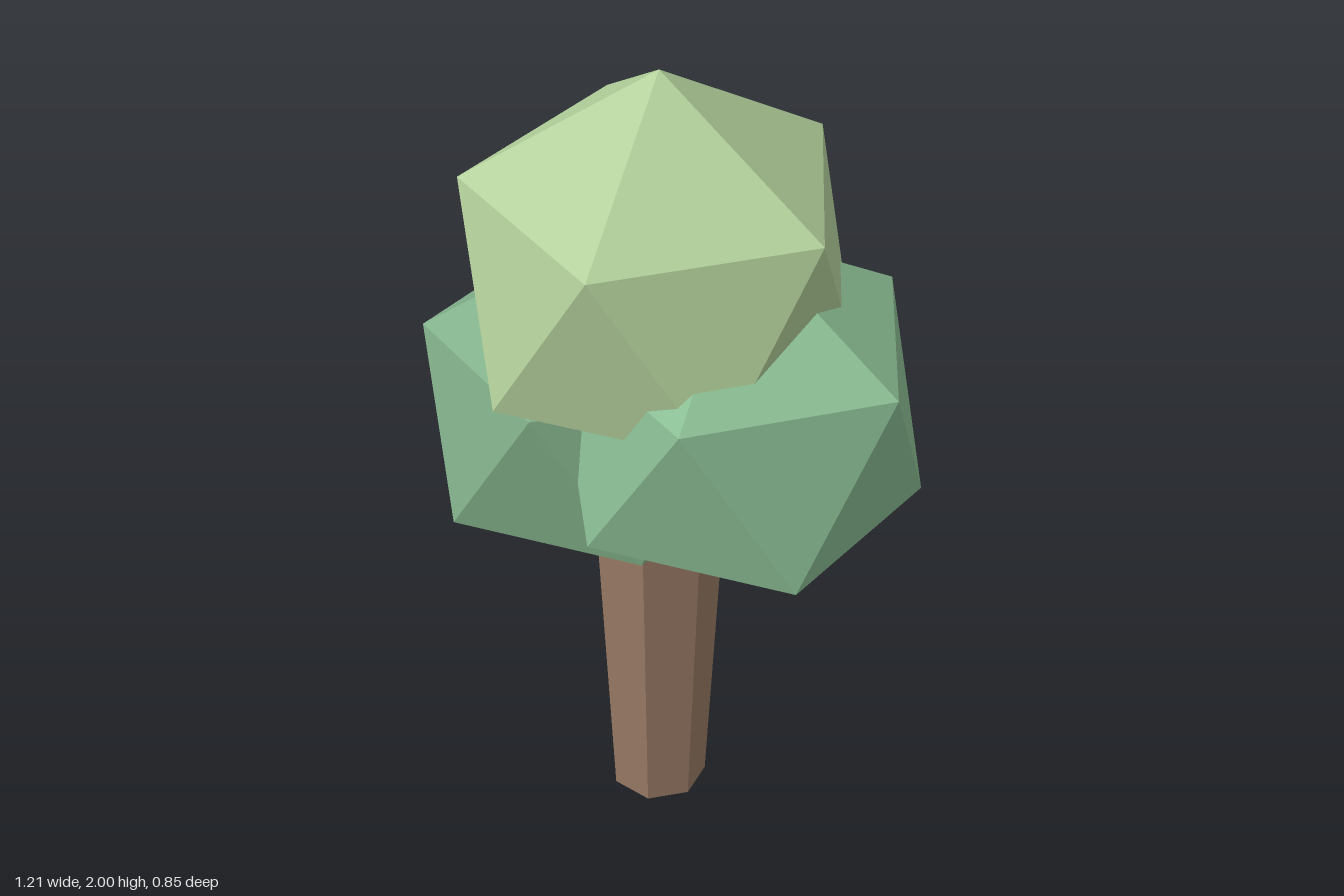
import * as THREE from 'three';

const GOLDEN = (1 + Math.sqrt(5)) / 2;

function material(color) {
  return new THREE.MeshStandardMaterial({ color, flatShading: true });
}

// Icosahedron standing on one corner, with an upper-ring corner facing +x
function leafBall(name, radius, position, color) {
  const geometry = new THREE.IcosahedronGeometry(radius, 0);
  geometry.rotateX(-Math.atan(GOLDEN)).rotateY(Math.PI / 2);
  const mesh = new THREE.Mesh(geometry, material(color));
  mesh.name = name;
  mesh.position.set(...position);
  return mesh;
}

export function createModel() {
  const tree = new THREE.Group();
  tree.name = 'tree';

  // Seven-sided trunk, widening upwards into the leaves
  const height = 1.1;
  const trunk = new THREE.Mesh(
    new THREE.CylinderGeometry(0.172, 0.118, height, 7).rotateY(Math.PI),
    material(0x9a7b66)
  );
  trunk.name = 'trunk';
  trunk.position.set(-0.025, height / 2, 0.006);
  tree.add(trunk);

  // Three overlapping clumps of leaves
  tree.add(
    leafBall('topLeaves', 0.49, [-0.02, 1.51, 0.003], 0xb4d19c),
    leafBall('rightLeaves', 0.442, [-0.21, 1.07, 0.003], 0x82b08a),
    leafBall('leftLeaves', 0.464, [0.185, 1.188, -0.033], 0x8abd93)
  );
  return tree;
}
